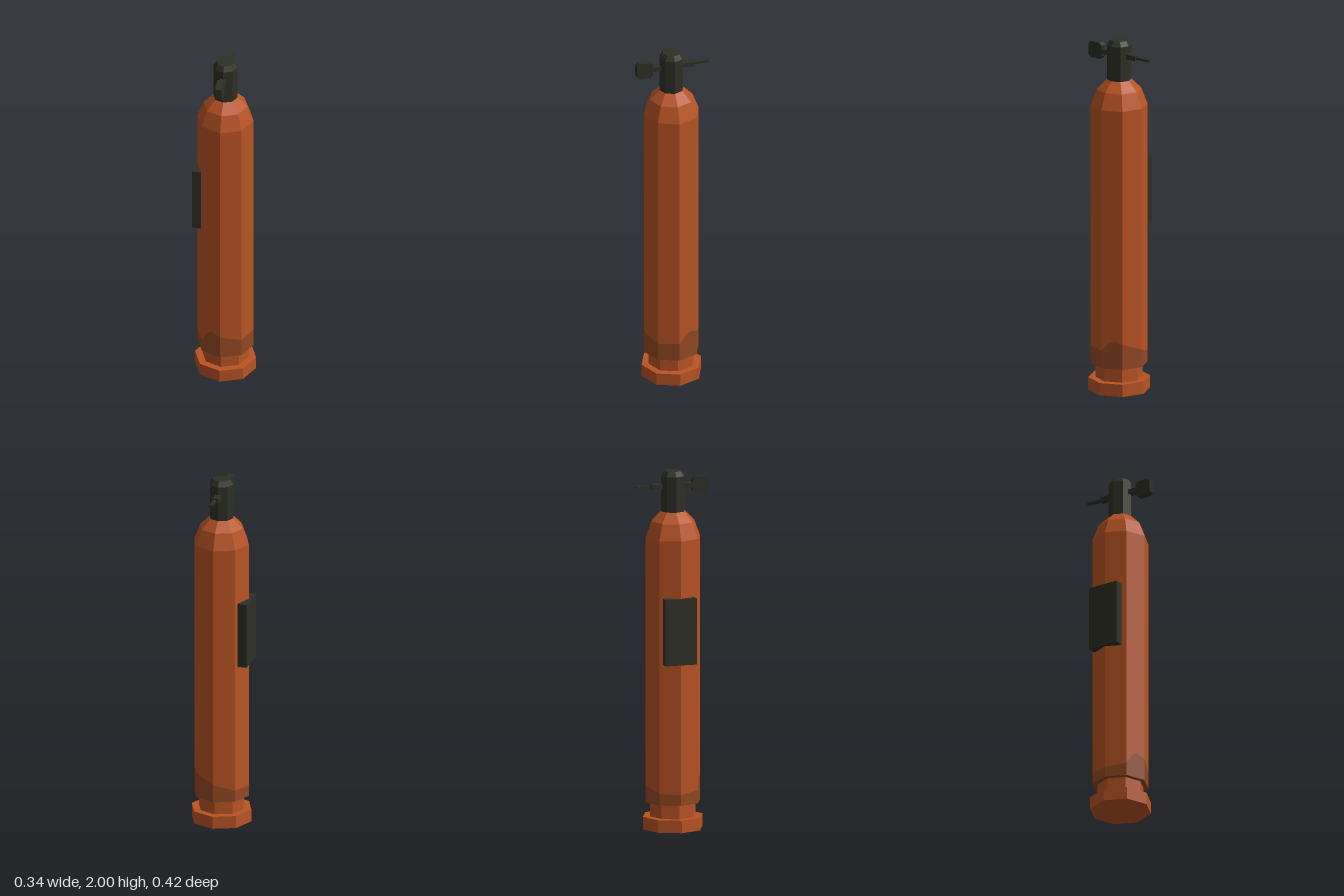
import * as THREE from 'three';

const orange = new THREE.MeshStandardMaterial({ color: 0xb95424 });
orange.name = 'orange paint';
const brown = new THREE.MeshStandardMaterial({ color: 0x924822 });
brown.name = 'worn brown paint';
const dark = new THREE.MeshStandardMaterial({ color: 0x2e2f25 });
dark.name = 'dark metal';

const CZ = 0.004; // axis of the tank
const R = 0.157; // tank radius

// Faceted mesh: separate faces, so every facet has its own normal
function part(group, name, geometry, material, x = 0, y = 0, z = 0) {
  const g = geometry.index ? geometry.toNonIndexed() : geometry;
  g.computeVertexNormals();
  const mesh = new THREE.Mesh(g, material);
  mesh.name = name;
  mesh.position.set(x, y, z);
  group.add(mesh);
  return mesh;
}

// Eight-sided turned shape from [radius, y] points, bottom to top
const turned = (points) =>
  new THREE.LatheGeometry(points.map(([r, y]) => new THREE.Vector2(r, y)), 8);

// Point on the octagon outline; u counts corners from +x towards +z
function outline(u) {
  const i = Math.floor(u), t = u - i;
  const a = (i * Math.PI) / 4, b = ((i + 1) * Math.PI) / 4;
  return [
    R * (Math.cos(a) * (1 - t) + Math.cos(b) * t),
    R * (Math.sin(a) * (1 - t) + Math.sin(b) * t),
  ];
}

// Wall between two heights, each given per station as [u, low, high]
function wall(stations) {
  const pos = [];
  for (let k = 0; k < stations.length - 1; k++) {
    const [u0, l0, h0] = stations[k], [u1, l1, h1] = stations[k + 1];
    const [x0, z0] = outline(u0), [x1, z1] = outline(u1);
    pos.push(x0, l0, z0, x0, h0, z0, x1, h1, z1);
    pos.push(x0, l0, z0, x1, h1, z1, x1, l1, z1);
  }
  const g = new THREE.BufferGeometry();
  g.setAttribute('position', new THREE.Float32BufferAttribute(pos, 3));
  return g;
}

export function createModel() {
  const model = new THREE.Group();

  // Foot and neck below the tank
  part(model, 'foot', turned([[0, 0], [0.171, 0], [0.171, 0.07], [0, 0.07]]), orange, 0, 0, CZ);
  part(model, 'lowerNeck', turned([[0.13, 0.07], [0.13, 0.15]]), orange, 0, 0, CZ);

  // Tank wall, split along an uneven worn edge
  const wornEdge = [
    [0, 0.255], [1, 0.25], [2, 0.28], [2.45, 0.3], [2.7, 0.28], [3, 0.225],
    [4, 0.21], [5, 0.215], [6, 0.25], [7, 0.295], [7.3, 0.31], [7.6, 0.3], [8, 0.255],
  ];
  part(model, 'wornBand', wall(wornEdge.map(([u, h]) => [u, 0.15, h])), brown, 0, 0, CZ);
  part(model, 'tankWall', wall(wornEdge.map(([u, h]) => [u, h, 1.63])), orange, 0, 0, CZ);
  part(model, 'tankBottom', turned([[0, 0.15], [R, 0.15]]), brown, 0, 0, CZ);
  part(model, 'shoulder', turned([[R, 1.63], [0.123, 1.72], [0.068, 1.775], [0, 1.775]]), orange, 0, 0, CZ);

  // Valve on top
  part(model, 'valve', turned([[0.068, 1.775], [0.068, 1.973], [0.05, 2], [0, 2]]), dark, 0, 0, CZ);
  part(model, 'valveStem', new THREE.BoxGeometry(0.035, 0.026, 0.24), dark, -0.001, 1.915, 0);
  part(model, 'lever', new THREE.BoxGeometry(0.018, 0.013, 0.1), dark, -0.001, 1.915, -0.159);

  // Chamfered knob, extruded across x
  const w = 0.046, c = 0.031;
  const shape = new THREE.Shape(
    [[w, -c], [w, c], [c, w], [-c, w], [-w, c], [-w, -c], [-c, -w], [c, -w]]
      .map(([x, y]) => new THREE.Vector2(x, y)));
  const knob = new THREE.ExtrudeGeometry(shape, { depth: 0.035, bevelEnabled: false });
  knob.translate(0, 0, -0.0175).rotateY(Math.PI / 2);
  part(model, 'knob', knob, dark, -0.001, 1.915, 0.16);

  // Plate on the side
  part(model, 'sidePlate', new THREE.BoxGeometry(0.05, 0.37, 0.18), dark, -0.147, 1.125, 0);

  return model;
}
